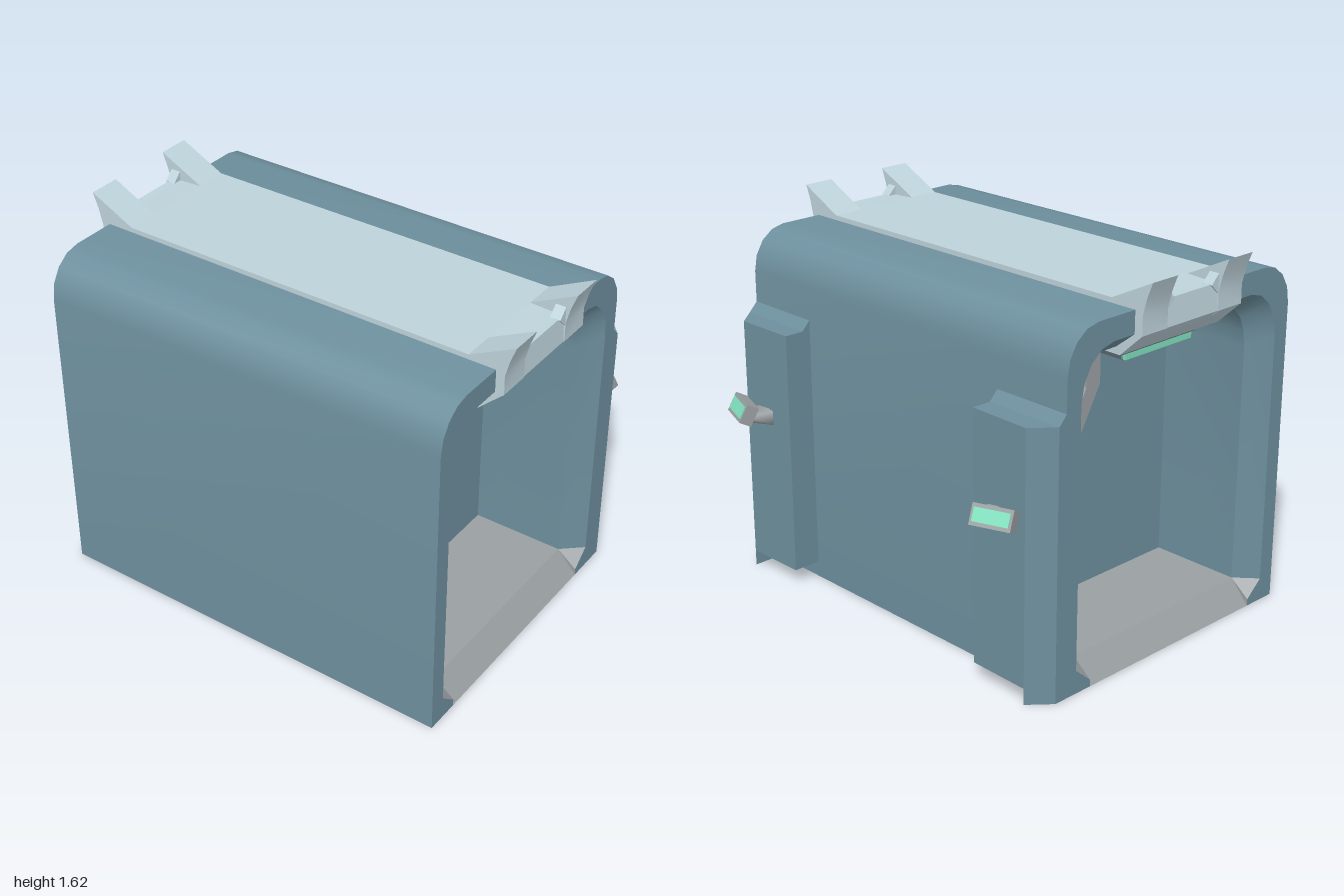
import * as THREE from 'three';
import { toCreasedNormals } from 'three/addons/utils/BufferGeometryUtils.js';

const mat = (color) => new THREE.MeshStandardMaterial({ color, side: THREE.DoubleSide });
const blue = mat(0x6d8f9d), pale = mat(0xbdd2da), grey = mat(0x9a9fa1), dark = mat(0x56646b), glow = mat(0x7fe0bd);

function add(parent, name, geometry, material) {
  const mesh = new THREE.Mesh(geometry, material);
  mesh.name = name;
  parent.add(mesh);
  return mesh;
}

const toShape = (pts) => new THREE.Shape(pts.map(([a, b]) => new THREE.Vector2(a, b)));
const extrude = (pts, depth) => new THREE.ExtrudeGeometry(toShape(pts), { depth, bevelEnabled: false });

// Prisms along x (points are z,y), y (points are x,z) and z (points are x,y)
const prismX = (pts, x0, x1) => extrude(pts, x1 - x0).rotateY(-Math.PI / 2).translate(x1, 0, 0);
const prismY = (pts, y0, y1) => extrude(pts.map(([x, z]) => [x, -z]), y1 - y0).rotateX(-Math.PI / 2).translate(0, y0, 0);
const prismZ = (pts, z0, z1) => extrude(pts, z1 - z0).translate(0, 0, z0);

// Flat face looking along +x, points are z,y
const faceX = (pts, x) =>
  new THREE.ShapeGeometry(toShape(pts.map(([z, y]) => [-z, y]))).rotateY(Math.PI / 2).translate(x, 0, 0);

// Skin between two outlines of z,y points standing at xa and xb
function loft(a, xa, b, xb) {
  const pos = [];
  for (let i = 0; i < a.length - 1; i++) {
    const p = [xa, a[i][1], a[i][0]], q = [xa, a[i + 1][1], a[i + 1][0]];
    const r = [xb, b[i + 1][1], b[i + 1][0]], s = [xb, b[i][1], b[i][0]];
    pos.push(...p, ...q, ...r, ...p, ...r, ...s);
  }
  const g = new THREE.BufferGeometry();
  g.setAttribute('position', new THREE.Float32BufferAttribute(pos, 3));
  g.computeVertexNormals();
  return toCreasedNormals(g, 0.7);
}

// Round-shouldered arch from the front foot over to the back foot
function arch(front, back, top, rz, ry, foot) {
  const pts = [[front, foot]];
  for (let i = 0; i <= 4; i++) {
    const t = (i / 4) * Math.PI / 2;
    pts.push([front - rz + rz * Math.cos(t), top - ry + ry * Math.sin(t)]);
  }
  for (let i = 0; i <= 4; i++) {
    const t = (i / 4) * Math.PI / 2;
    pts.push([back + rz - rz * Math.sin(t), top - ry + ry * Math.cos(t)]);
  }
  pts.push([back, foot]);
  return pts;
}

const W = 0.92, LIP = 0.83, DEEP = 0.42;
const outer = arch(0.775, -0.51, 1.495, 0.16, 0.18, 0);
const mouth = arch(0.7, -0.435, 1.4, 0.17, 0.21, 0.1);
const inner = arch(0.62, -0.355, 1.33, 0.12, 0.19, 0.1);

function makeEnd() {
  const end = new THREE.Group();
  end.name = 'end';

  // Frame around the opening and its sloped reveal
  const rim = [[0.62, 0], [0.62, 0.03], ...mouth, [-0.355, 0.03], [-0.355, 0]];
  add(end, 'endFrame', faceX([...outer, ...rim.slice().reverse()], W), blue);
  add(end, 'openingReveal', loft(mouth, W, inner, LIP), blue);
  for (const [zi, zo] of [[0.62, 0.7], [-0.355, -0.435]]) {
    add(end, 'lowerCorner', loft([[zo, 0.1], [zi, 0.03], [zi, 0]], W, [[zi, 0.1], [zi, 0.1], [zi, 0.1]], LIP), grey);
  }

  // Bay behind the opening
  add(end, 'bayWalls', loft(inner, LIP, inner, DEEP), blue);
  add(end, 'bayBackWall', faceX(inner, DEEP), blue);
  const sill = [[0.62, 0], [-0.355, 0]], floor = [[0.62, 0.1], [-0.355, 0.1]];
  add(end, 'sill', loft(sill, W, floor, LIP), grey);
  add(end, 'bayFloor', loft(floor, LIP, floor, DEEP), grey);
  add(end, 'wallStrip', prismX([[0.05, 0.1], [0.05, 0.74], [0.19, 0.99], [0.19, 1.32],
    [0.11, 1.32], [0.11, 0.99], [-0.03, 0.74], [-0.03, 0.1]], DEEP, DEEP + 0.02), grey);

  // Ceiling lamp
  add(end, 'lampHousing', new THREE.BoxGeometry(0.2, 0.05, 0.43).translate(0.7, 1.295, 0.125), dark);
  add(end, 'lampBody', new THREE.BoxGeometry(0.16, 0.04, 0.385).translate(0.7, 1.26, 0.132), dark);
  add(end, 'lampGlow', new THREE.BoxGeometry(0.02, 0.036, 0.385).translate(0.785, 1.26, 0.132), glow);

  // Roof clamp: hooked end block with two upswept horns
  add(end, 'clampEnd', prismZ([[0.6, 1.5], [0.945, 1.51], [0.955, 1.4], [0.925, 1.37],
    [0.85, 1.3], [0.6, 1.3]], -0.155, 0.42), pale);
  const horn = [[0.8, 1.515], [1, 1.615], [0.975, 1.55], [0.957, 1.48], [0.958, 1.4], [0.925, 1.37], [0.85, 1.4]];
  for (const [z0, z1, dir] of [[0.28, 0.42, -1], [-0.155, -0.015, 1]]) {
    add(end, 'clampHorn', toCreasedNormals(prismZ(horn, z0, z1), 0.5), pale);
    const z = dir < 0 ? z0 : z1;
    add(end, 'hornGusset', prismX([[z, 1.55], [z + dir * 0.04, 1.51], [z, 1.47]], 0.91, 0.955), pale);
  }

  // Rear pad with a bevelled outer edge reaching the ground
  const pad = new THREE.Group();
  pad.name = 'rearPad';
  end.add(pad);
  add(pad, 'padFace', prismY([[0.56, -0.5], [0.84, -0.5], [0.84, -0.64], [0.56, -0.635]], 0.07, 1.14), blue);
  add(pad, 'padEdge', prismY([[0.84, -0.5], [W, -0.5], [W, -0.548], [0.84, -0.64]], 0, 1.14), blue);
  add(pad, 'padTop', prismX([[-0.5, 1.18], [-0.51, 1.18], [-0.548, 1.14], [-0.5, 1.14]], 0.56, W), blue);

  // Angled marker light on a flared arm
  const arm = add(pad, 'lightArm', new THREE.CylinderGeometry(0.035, 0.085, 0.1, 4, 1)
    .rotateY(Math.PI / 4).scale(1, 1, 0.5).rotateX(-Math.PI / 2), grey);
  arm.position.set(0.725, 0.755, -0.68);
  arm.rotation.y = -0.3;
  const light = new THREE.Group();
  light.name = 'markerLight';
  light.position.set(0.762, 0.785, -0.722);
  light.rotation.set(0.48, -0.35, 0, 'YXZ');
  pad.add(light);
  add(light, 'lightHousing', new THREE.BoxGeometry(0.17, 0.085, 0.055), grey);
  add(light, 'lightGlow', new THREE.BoxGeometry(0.15, 0.055, 0.01).translate(0, 0, -0.026), glow);
  return end;
}

export function createModel() {
  const model = new THREE.Group();
  model.name = 'shelter';

  // Outer skin and base
  add(model, 'outerSkin', loft(outer, -W, outer, W), blue);
  add(model, 'base', new THREE.PlaneGeometry(2 * W, 1.285).rotateX(Math.PI / 2).translate(0, 0, 0.1325), blue);

  // Roof plate joining the two clamps
  add(model, 'roofPlate', prismZ([[-0.945, 1.508], [-0.8, 1.516], [0.8, 1.516], [0.945, 1.508],
    [0.945, 1.48], [-0.945, 1.48]], -0.155, 0.42), pale);

  // Matching ends
  const left = makeEnd();
  left.name = 'leftEnd';
  const right = makeEnd();
  right.name = 'rightEnd';
  right.scale.x = -1;
  model.add(left, right);
  return model;
}
